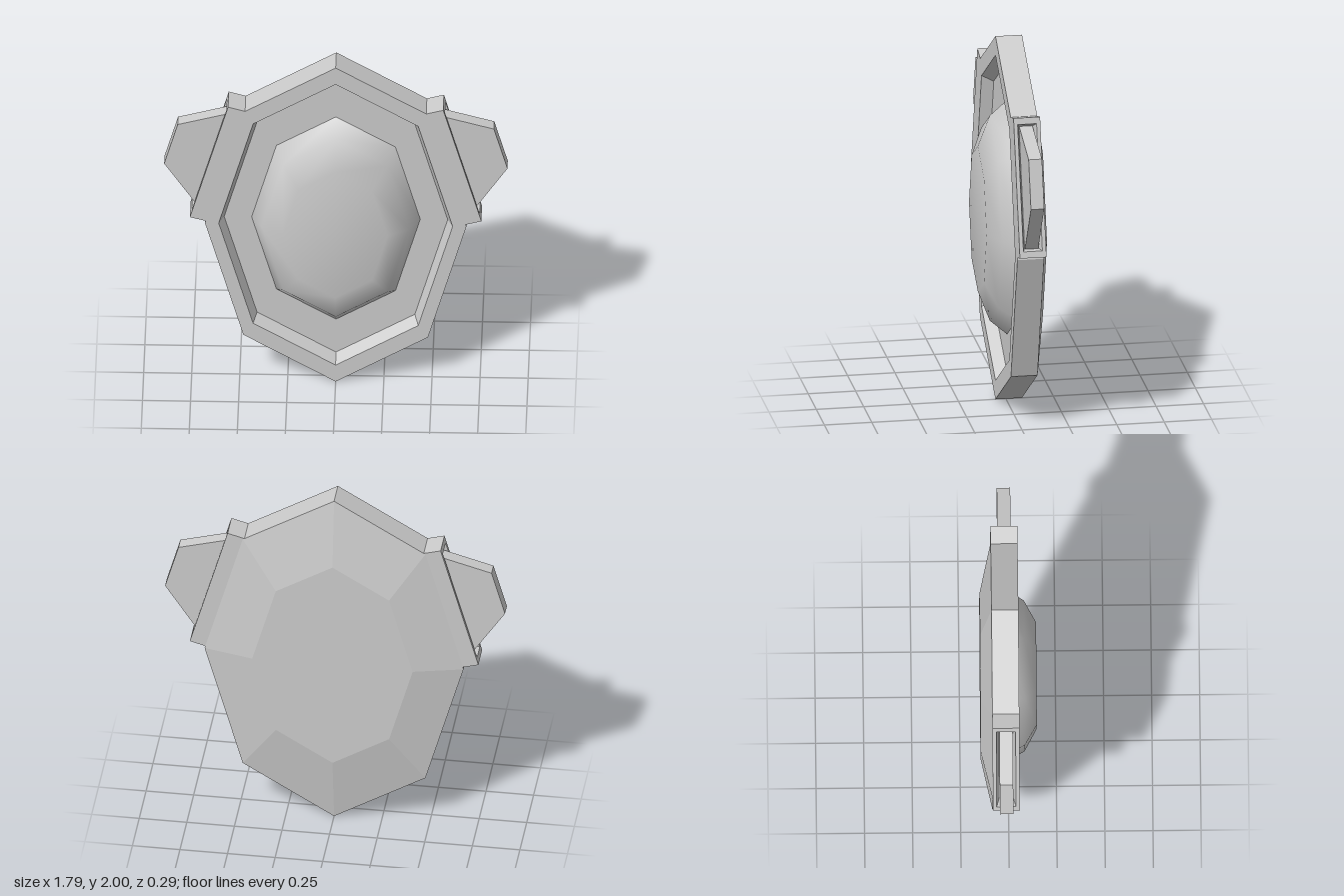
import * as THREE from 'three';

// Skins a list of equal-length closed rings, with fan caps at the ends.
function loft(rings, { smooth = false, startCap = true } = {}) {
  const n = rings[0].length;
  const pos = rings.flat(2);
  const index = [];
  for (let r = 0; r < rings.length - 1; r++) {
    for (let i = 0; i < n; i++) {
      const j = (i + 1) % n;
      const a = r * n + i, b = r * n + j, c = a + n, d = b + n;
      index.push(a, b, d, a, d, c);
    }
  }
  const cap = (r, flip) => {
    const centre = pos.length / 3;
    for (let k = 0; k < 3; k++) pos.push(rings[r].reduce((s, p) => s + p[k], 0) / n);
    for (let i = 0; i < n; i++) {
      const a = r * n + i, b = r * n + (i + 1) % n;
      index.push(centre, flip ? b : a, flip ? a : b);
    }
  };
  if (startCap) cap(0, true);
  cap(rings.length - 1, false);
  let geo = new THREE.BufferGeometry();
  geo.setAttribute('position', new THREE.Float32BufferAttribute(pos, 3));
  geo.setIndex(index);
  if (!smooth) geo = geo.toNonIndexed();
  geo.computeVertexNormals();
  return geo;
}

// Tall octagon outline, counter-clockwise from the front, scaled about (0, 1)
const OUTLINE = [[0.68, 0], [0.48, 0.71], [0, 1], [-0.48, 0.71],
  [-0.68, 0], [-0.48, -0.71], [0, -1], [0.48, -0.71]];
const octagon = (s, z) => OUTLINE.map(([x, y]) => [x * s, 1 + y * s, z]);

// Rectangle across the local x axis
const rect = (x, h, w) => [[x, -h, -w], [x, h, -w], [x, h, w], [x, -h, w]];

export function createModel() {
  const model = new THREE.Group();
  model.name = 'amulet';
  const flat = new THREE.MeshStandardMaterial({ color: 0xcccccc, flatShading: true });
  const soft = new THREE.MeshStandardMaterial({ color: 0xcccccc });
  const add = (parent, name, geo, mat = flat) => {
    const mesh = new THREE.Mesh(geo, mat);
    mesh.name = name;
    parent.add(mesh);
    return mesh;
  };

  // Case: bevelled back, straight rim, recessed front
  add(model, 'case', loft([
    octagon(0.62, -0.145), octagon(1, -0.085), octagon(1, 0.055),
    octagon(0.895, 0.055), octagon(0.855, -0.006),
  ]));

  // Domed gem standing on the recess floor
  add(model, 'gem', loft([
    octagon(0.645, -0.006), octagon(0.565, 0.085), octagon(0.4, 0.148),
  ], { smooth: true, startCap: false }), soft);

  // Hollow socket along the upper slanted edge
  const socketGeo = loft([
    rect(-0.02, 0.366, 0.07), rect(0.085, 0.366, 0.07),
    rect(0.085, 0.332, 0.05), rect(0.035, 0.318, 0.036),
  ]);

  // Wing plate held in the socket
  const wingShape = new THREE.Shape([[0.03, -0.335], [0.3, -0.1], [0.3, 0.16], [0.03, 0.325]]
    .map(([x, y]) => new THREE.Vector2(x, y)));
  const wingGeo = new THREE.ExtrudeGeometry(wingShape, { depth: 0.07, bevelEnabled: false });
  wingGeo.translate(0, 0, -0.035);

  // Both sides: the parts are symmetric in depth, so a half turn mirrors them
  for (const side of ['left', 'right']) {
    const pivot = new THREE.Group();
    pivot.name = side + 'Side';
    pivot.position.z = -0.015;
    pivot.rotation.y = side === 'left' ? 0 : Math.PI;
    const mount = new THREE.Group();
    mount.name = side + 'Mount';
    mount.position.set(0.577, 1.365, 0);
    mount.rotation.z = Math.atan2(0.2, 0.71);
    add(mount, side + 'Socket', socketGeo);
    add(mount, side + 'Wing', wingGeo);
    pivot.add(mount);
    model.add(pivot);
  }
  return model;
}
